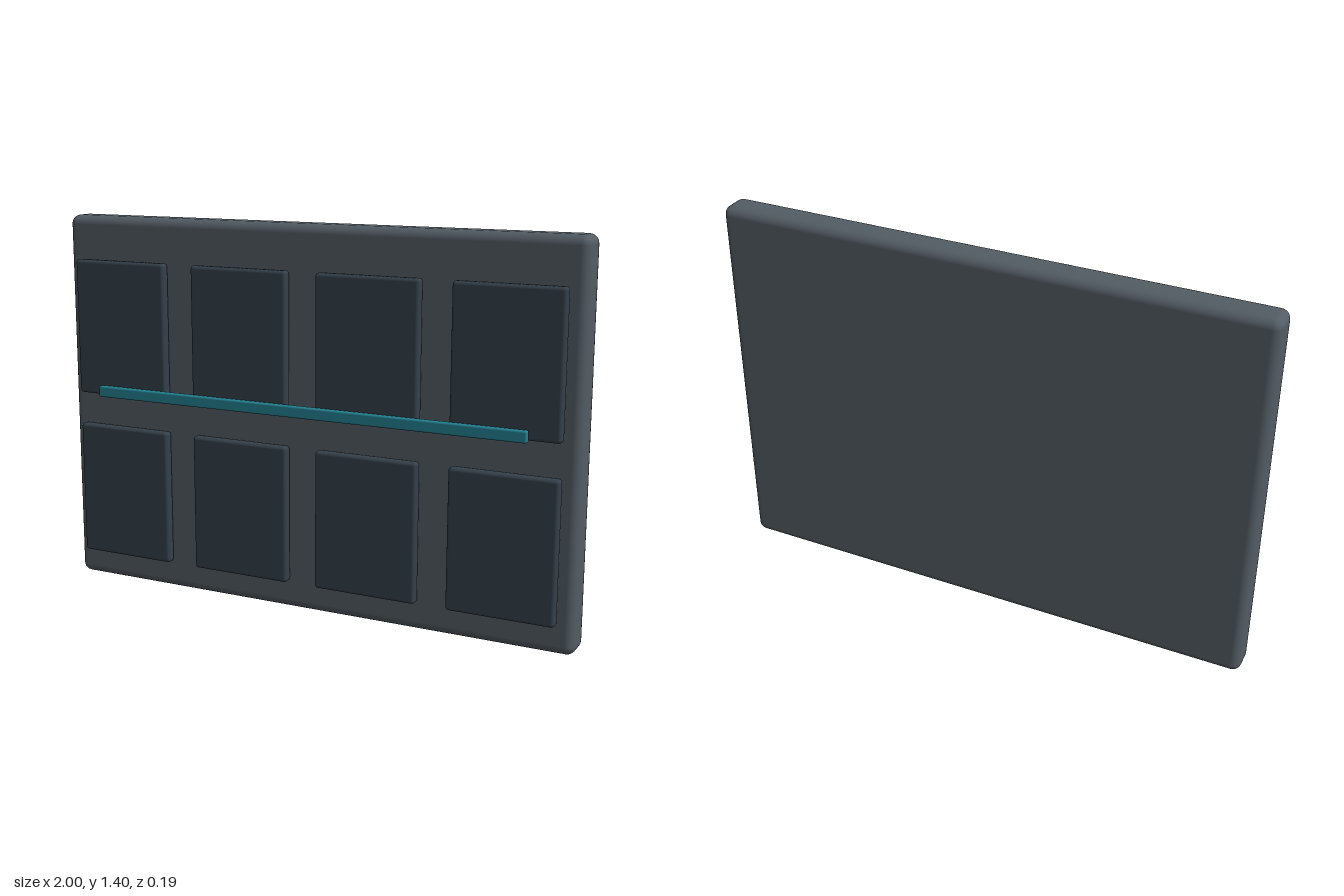
import * as THREE from 'three';
import { RoundedBoxGeometry } from 'three/addons/geometries/RoundedBoxGeometry.js';

const slabMat = new THREE.MeshStandardMaterial({ color: 0x535c64 });
const panelMat = new THREE.MeshStandardMaterial({ color: 0x35404a });
const barMat = new THREE.MeshStandardMaterial({ color: 0x238090 });

// Rounded block given by its extents on each axis
function block(name, [x0, x1], [y0, y1], [z0, z1], radius, material) {
  const geometry = new RoundedBoxGeometry(x1 - x0, y1 - y0, z1 - z0, 3, radius);
  const mesh = new THREE.Mesh(geometry, material);
  mesh.position.set((x0 + x1) / 2, (y0 + y1) / 2, (z0 + z1) / 2);
  mesh.name = name;
  return mesh;
}

export function createModel() {
  const model = new THREE.Group();
  model.name = 'panelledBoard';

  // Backing slab
  model.add(block('backSlab', [-1, 1], [0, 1.4], [-0.096, 0.022], 0.033, slabMat));

  // Two rows of four panels, floating just off the slab
  const panels = new THREE.Group();
  panels.name = 'panels';
  const halfWidth = 0.193;
  for (const [row, y] of [['lower', [0.11, 0.615]], ['upper', [0.735, 1.24]]]) {
    for (let i = 0; i < 4; i++) {
      const x = -0.75 + i * 0.5;
      panels.add(block(`${row}Panel${i + 1}`, [x - halfWidth, x + halfWidth], y, [0.029, 0.068], 0.012, panelMat));
    }
  }
  model.add(panels);

  // Horizontal accent bar in front of the upper row
  model.add(block('accentBar', [-0.836, 0.836], [0.732, 0.773], [0.07, 0.096], 0.006, barMat));

  return model;
}
